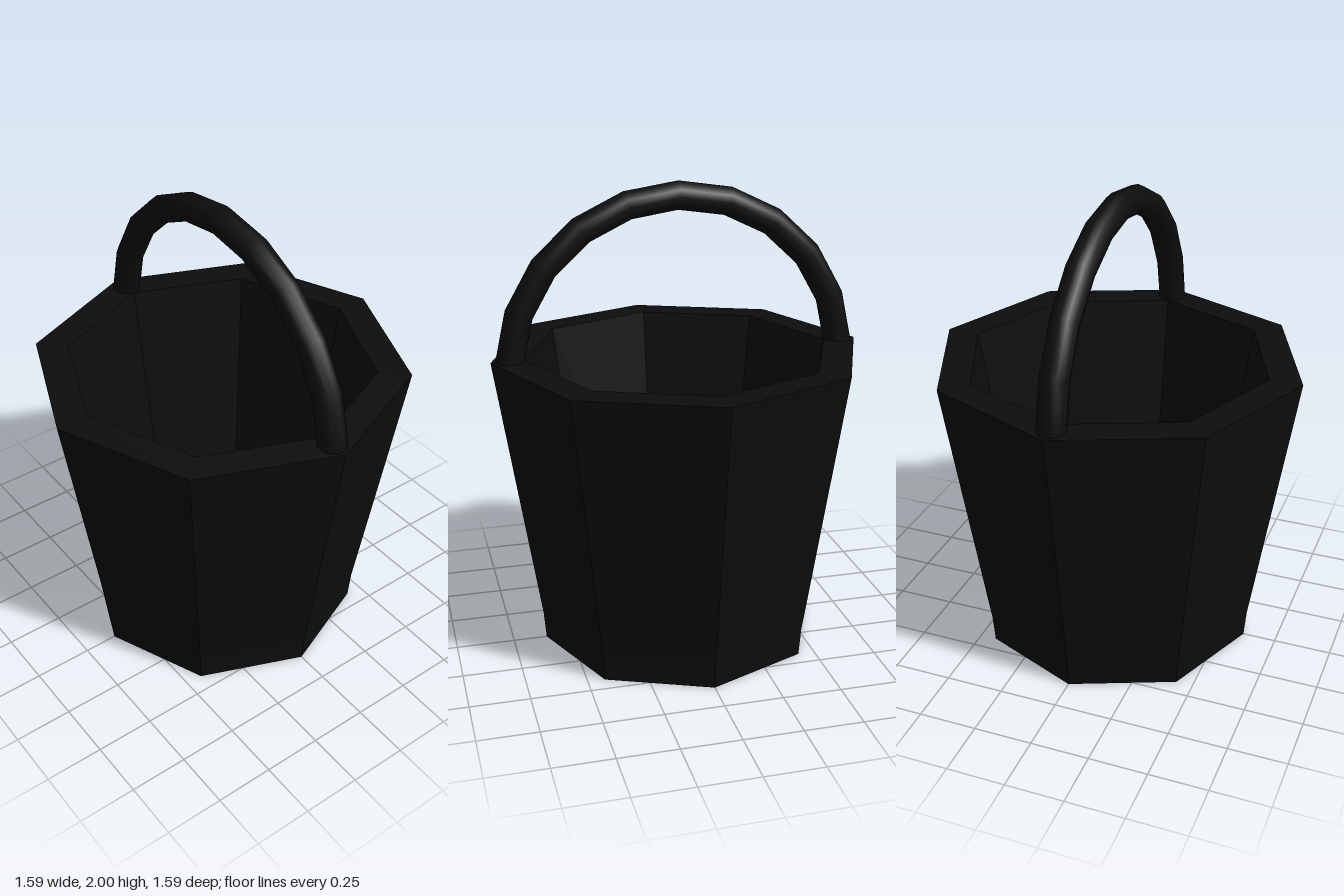
import * as THREE from 'three';

export function createModel() {
  const model = new THREE.Group();
  model.name = 'bucket';

  const flatBlack = new THREE.MeshStandardMaterial({ color: 0x0d0d0d });
  flatBlack.name = 'black';

  // Eight-sided pail: outside, thick rim, inside wall and raised floor in one profile
  const profile = [
    [0, 0], [0.605, 0], [0.615, 0.12], [0.795, 1.285],
    [0.655, 1.285], [0.47, 0.12], [0, 0.12],
  ].map(([r, y]) => new THREE.Vector2(r, y));
  const pailGeometry = new THREE.LatheGeometry(profile, 8).toNonIndexed();
  pailGeometry.computeVertexNormals(); // one normal per face gives crisp facets
  const pail = new THREE.Mesh(pailGeometry, flatBlack);
  pail.name = 'pail';
  model.add(pail);

  // Hooped handle, its ends sunk into the rim
  const arc = THREE.MathUtils.degToRad(172);
  const handleGeometry = new THREE.TorusGeometry(0.72, 0.06, 12, 10, arc);
  handleGeometry.rotateZ((Math.PI - arc) / 2);
  const handle = new THREE.Mesh(handleGeometry, flatBlack);
  handle.name = 'handle';
  handle.position.y = 1.22;
  model.add(handle);

  return model;
}
